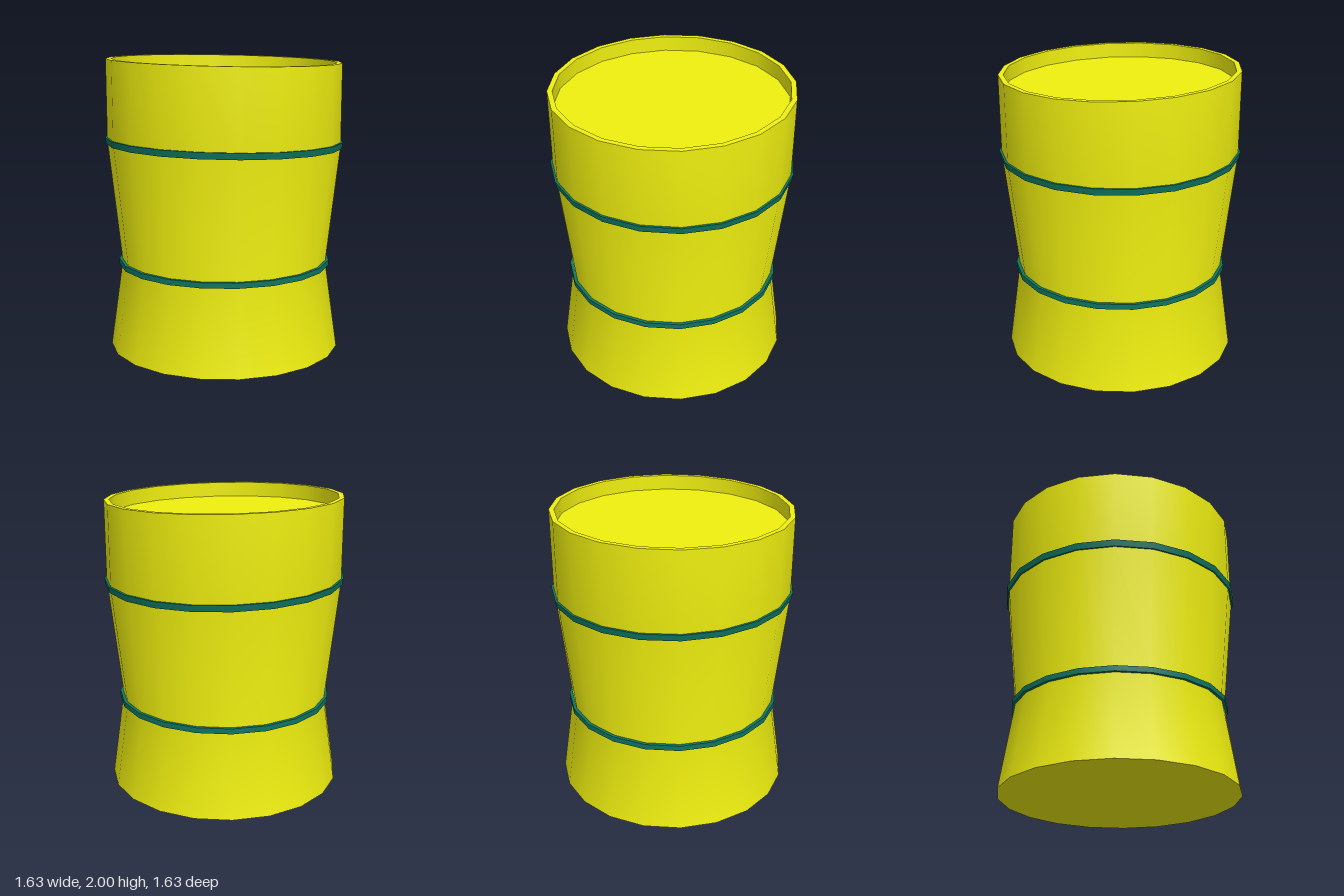
import * as THREE from 'three';

const SIDES = 20;
const yellow = new THREE.MeshStandardMaterial({ color: 0xf0f010 });
const teal = new THREE.MeshStandardMaterial({ color: 0x0f7561 });

// Slopes (dy/dx, dy/dz) of the tilted rim and of the tilted upper band
const LEVEL = [0, 0];
const RIM = [-0.0275, 0];
const BAND = [-0.013, 0.013];

// Surface of revolution; every profile row is [radius, height, tilt]
function turned(name, material, rows) {
  const geometry = new THREE.LatheGeometry(rows.map(([r, y]) => new THREE.Vector2(r, y)), SIDES);
  const pos = geometry.attributes.position;
  for (let i = 0; i < pos.count; i++) {
    const [sx, sz] = rows[i % rows.length][2] ?? LEVEL;
    pos.setY(i, pos.getY(i) + pos.getX(i) * sx + pos.getZ(i) * sz);
  }
  geometry.computeBoundingSphere();
  const mesh = new THREE.Mesh(geometry, material);
  mesh.name = name;
  return mesh;
}

// Hoop with sharp edges: one strip per side of its section
function hoop(name, inner, bottomR, topR, y, height, tilt) {
  const lo = y - height / 2, hi = y + height / 2;
  const corners = [[inner, lo, tilt], [bottomR, lo, tilt], [topR, hi, tilt], [inner, hi, tilt]];
  const group = new THREE.Group();
  group.name = name;
  ['Underside', 'Face', 'Top'].forEach((part, i) =>
    group.add(turned(name + part, teal, [corners[i], corners[i + 1]])));
  return group;
}

export function createModel() {
  const model = new THREE.Group();
  model.name = 'barrel';
  const rimY = 1.978, lidY = 1.876, innerR = 0.765;

  model.add(
    // Waisted body
    turned('bodyWall', yellow, [[0.8, 0], [0.712, 0.6], [0.8, 1.426, BAND], [0.8, rimY, RIM]]),
    turned('base', yellow, [[0, 0], [0.8, 0]]),
    // Slanted rim and recessed lid
    turned('rim', yellow, [[0.8, rimY, RIM], [innerR, rimY, RIM]]),
    turned('rimInside', yellow, [[innerR, rimY, RIM], [innerR, lidY, RIM]]),
    turned('lid', yellow, [[innerR, lidY, RIM], [0, lidY, RIM]]),
    // Hoops
    hoop('lowerHoop', 0.7, 0.735, 0.735, 0.596, 0.037, LEVEL),
    hoop('upperHoop', 0.78, 0.808, 0.815, 1.426, 0.043, BAND),
  );
  return model;
}
